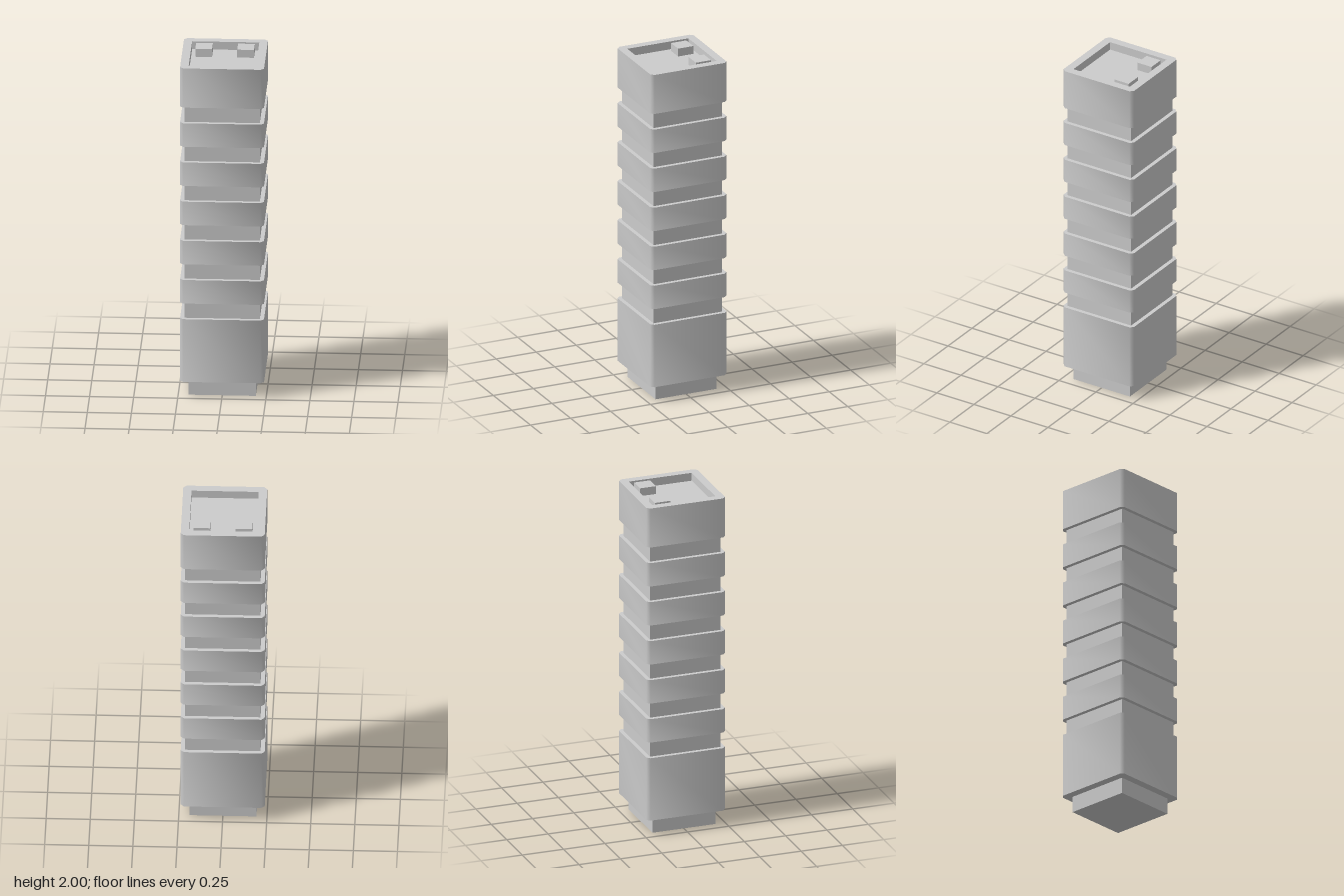
import * as THREE from 'three';
import { toCreasedNormals } from 'three/addons/utils/BufferGeometryUtils.js';

const U = 2 / 42; // one module of the design: the tower is 42 modules tall
const material = new THREE.MeshStandardMaterial({ color: 0xcccccc });

export function createModel() {
  const tower = new THREE.Group();
  tower.name = 'tower';

  const add = (name, geometry, x, y, z) => {
    const mesh = new THREE.Mesh(geometry, material);
    mesh.name = name;
    mesh.position.set(x * U, y * U, z * U);
    tower.add(mesh);
  };

  // Square block standing on height y (all in modules)
  const block = (name, width, y, height, x = 0, z = 0) =>
    add(name, new THREE.BoxGeometry(width * U, height * U, width * U), x, y + height / 2, z);

  // Wide storey with chamfered, softly shaded corners and an optional square opening
  const storey = (name, y, height, opening = 0) => {
    const a = 5 * U, b = 4.6 * U, h = (opening / 2) * U;
    const points = [[a, -b], [a, b], [b, a], [-b, a], [-a, b], [-a, -b], [-b, -a], [b, -a]];
    const shape = new THREE.Shape(points.map(([x, z]) => new THREE.Vector2(x, z)));
    if (opening) {
      const hole = [[-h, -h], [-h, h], [h, h], [h, -h]];
      shape.holes.push(new THREE.Path(hole.map(([x, z]) => new THREE.Vector2(x, z))));
    }
    const geometry = new THREE.ExtrudeGeometry(shape, { depth: height * U, bevelEnabled: false });
    geometry.rotateX(-Math.PI / 2);
    add(name, toCreasedNormals(geometry, Math.PI / 3), 0, y, 0);
  };

  // Plinth and tall lower storey
  block('plinth', 8, 0, 2);
  storey('lowerStorey', 2, 8);

  // Recessed necks alternating with wide bands
  for (let i = 0; i < 6; i++) {
    const y = 10 + i * 5;
    block('neck' + (i + 1), 9, y, 2);
    if (i < 5) storey('band' + (i + 1), y + 2, 3);
  }

  // Top storey with a parapet around a sunken roof
  storey('topStorey', 37, 5, 8);
  block('roofFloor', 8, 37, 4);

  // Two roof units at the back
  for (const side of [-1, 1]) {
    block(side > 0 ? 'leftRoofUnit' : 'rightRoofUnit', 2, 41, 1, side * 2.5, -2.5);
  }
  return tower;
}
